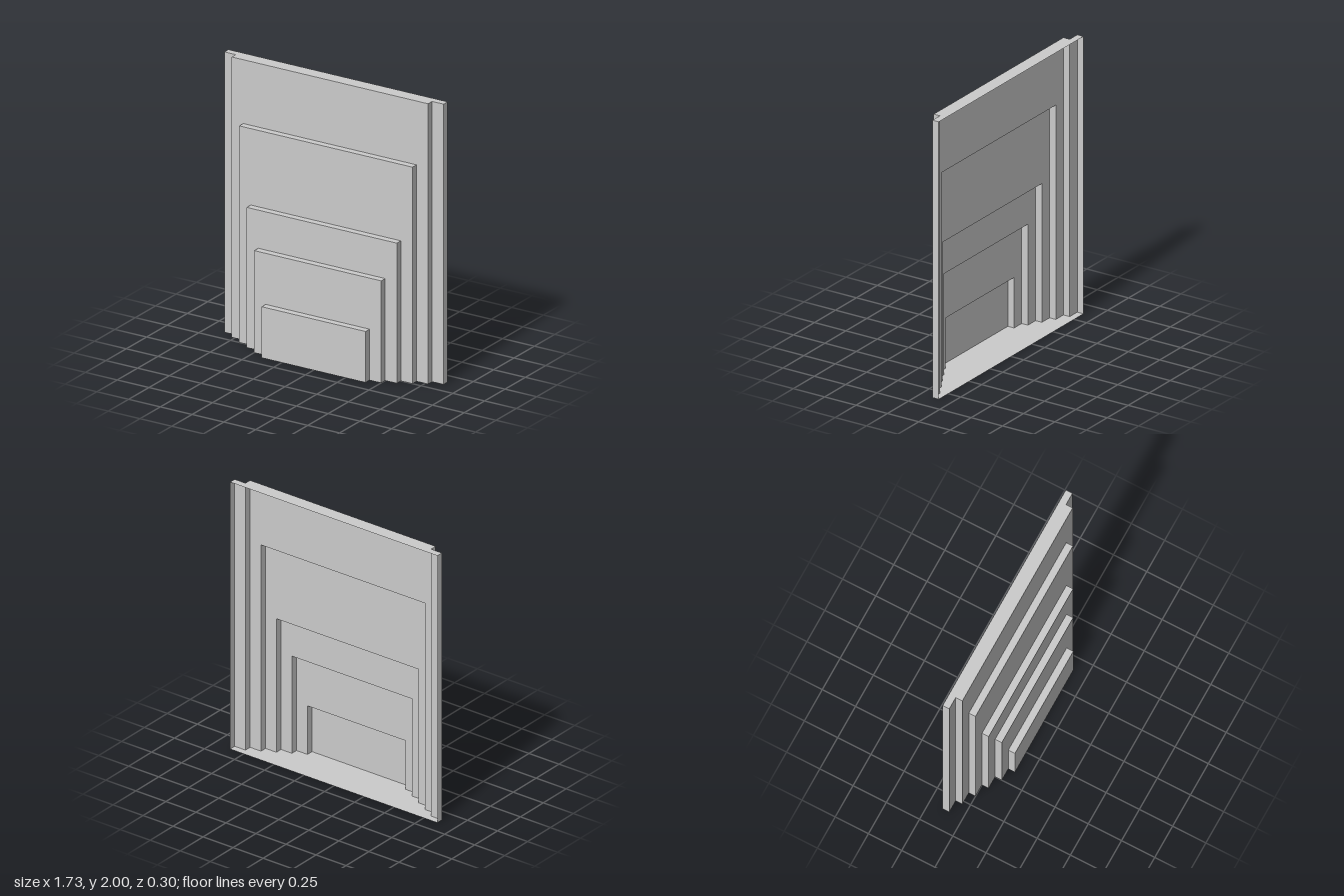
import * as THREE from 'three';
import { mergeGeometries } from 'three/addons/utils/BufferGeometryUtils.js';

// Tiers from back to front: [half width, height]
const TIERS = [[0.863, 2], [0.773, 2], [0.682, 1.545], [0.591, 1], [0.5, 0.728], [0.409, 0.364]];
const DEPTH = 0.05;
const BACK = -0.15;

// A flat sheet, turned about x and y, then moved into place
function sheet(w, h, x, y, z, rx = 0, ry = 0) {
  return new THREE.PlaneGeometry(w, h).rotateX(rx).rotateY(ry).translate(x, y, z);
}

// One open-backed tier: sides, top, floor and the front left around the next tier
function tierGeometry([hw, h], next, zBack) {
  const zMid = zBack + DEPTH / 2, zFront = zBack + DEPTH;
  const parts = [
    sheet(2 * hw, DEPTH, 0, h, zMid, -Math.PI / 2),
    sheet(2 * hw, DEPTH, 0, 0, zMid, Math.PI / 2),
  ];
  for (const s of [-1, 1]) parts.push(sheet(DEPTH, h, s * hw, h / 2, zMid, 0, s * Math.PI / 2));

  if (!next) {
    parts.push(sheet(2 * hw, h, 0, h / 2, zFront));
  } else {
    const [nw, nh] = next;
    for (const s of [-1, 1]) parts.push(sheet(hw - nw, h, s * (hw + nw) / 2, h / 2, zFront));
    if (h > nh) parts.push(sheet(2 * nw, h - nh, 0, (h + nh) / 2, zFront));
  }
  return mergeGeometries(parts);
}

export function createModel() {
  const model = new THREE.Group();
  model.name = 'steppedPanel';
  const material = new THREE.MeshStandardMaterial({
    color: 0xcccccc, side: THREE.DoubleSide, flatShading: true,
  });
  TIERS.forEach((tier, i) => {
    const mesh = new THREE.Mesh(tierGeometry(tier, TIERS[i + 1], BACK + i * DEPTH), material);
    mesh.name = `tier${i + 1}`;
    model.add(mesh);
  });
  return model;
}
